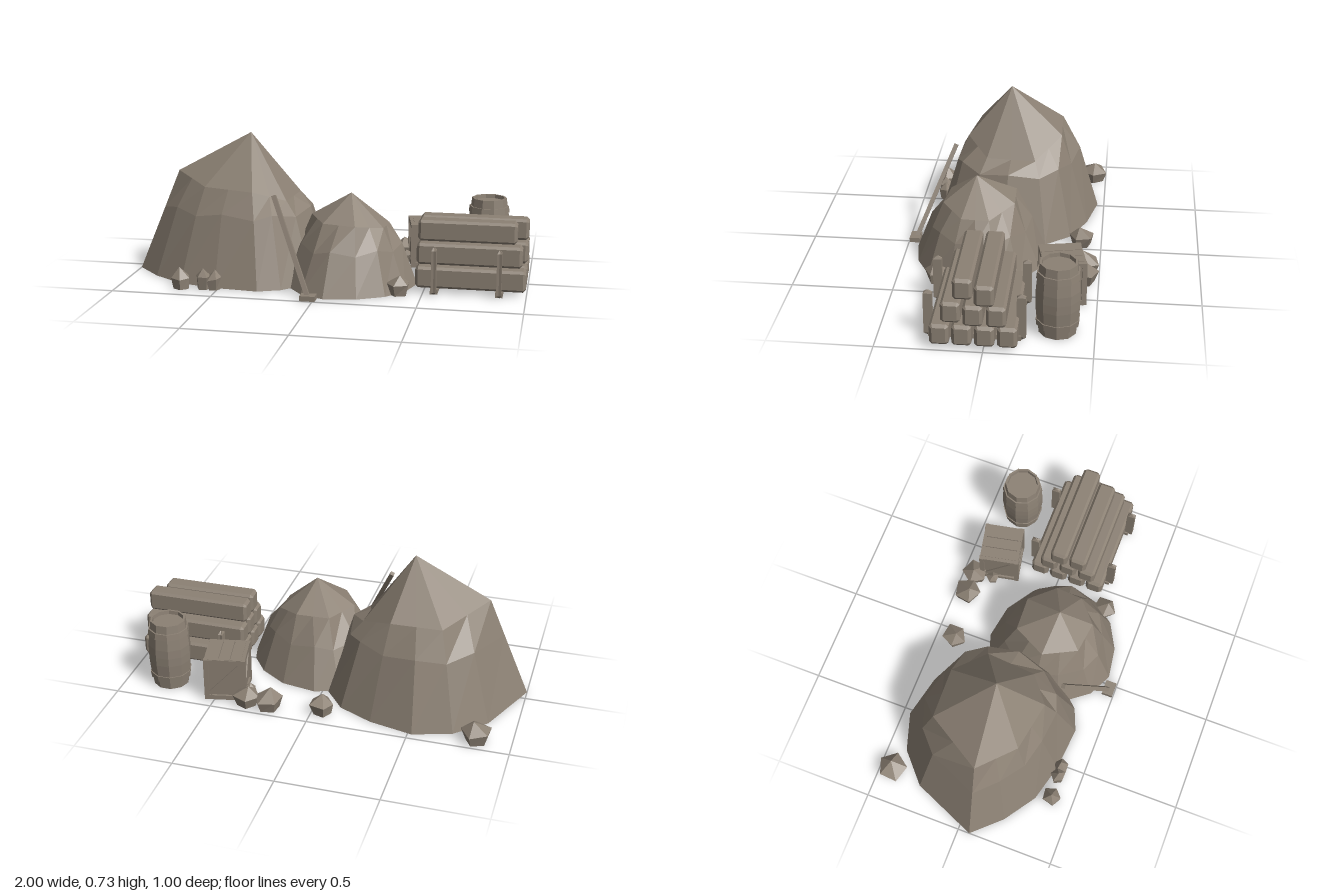
import * as THREE from 'three';

const clay = new THREE.MeshStandardMaterial({ color: 0x8c8174, flatShading: true, side: THREE.DoubleSide });
clay.name = 'clay';

function add(parent, name, geometry, x = 0, y = 0, z = 0) {
  const mesh = new THREE.Mesh(geometry, clay);
  mesh.name = name;
  mesh.position.set(x, y, z);
  parent.add(mesh);
  return mesh;
}

function box(parent, name, w, h, d, x, y, z) {
  return add(parent, name, new THREE.BoxGeometry(w, h, d), x, y, z);
}

// Square bar running from one point to another
function bar(parent, name, a, b, w, d) {
  const dir = b.clone().sub(a);
  const mesh = box(parent, name, w, dir.length(), d, 0, 0, 0);
  mesh.position.copy(a).add(b).multiplyScalar(0.5);
  mesh.quaternion.setFromUnitVectors(new THREE.Vector3(0, 1, 0), dir.normalize());
  return mesh;
}

// Open-bottomed faceted shell: rings from the ground up, closed by a tip
function shell(rings, tip) {
  const pos = [];
  const tri = (...pts) => pts.forEach((p) => pos.push(p.x, p.y, p.z));
  const n = rings[0].length;
  rings.forEach((low, r) => {
    const up = rings[r + 1];
    for (let i = 0; i < n; i++) {
      const j = (i + 1) % n;
      if (!up) { tri(low[j], low[i], tip); continue; }
      tri(low[j], low[i], up[i]);
      tri(low[j], up[i], up[j]);
    }
  });
  const g = new THREE.BufferGeometry();
  g.setAttribute('position', new THREE.Float32BufferAttribute(pos, 3));
  g.computeVertexNormals();
  return g;
}

// Mound: ground outline, a shoulder ring and a coarser upper ring
function mound(parent, name, outline, centre, tip, shoulder, upper, heights) {
  const n = outline.length;
  const ring = (f, yOf) => outline.map(([x, z], i) => new THREE.Vector3(
    centre[0] + (x - centre[0]) * f, yOf(i), centre[1] + (z - centre[1]) * f));
  const base = ring(1, () => 0);
  const mid = ring(shoulder[0], (i) => shoulder[1] + (i % 2 ? 0.012 : -0.012));
  const top = ring(upper, (i) => heights[i >> 1]);
  for (let i = 1; i < n; i += 2) top[i].copy(top[i - 1]).add(top[(i + 1) % n]).multiplyScalar(0.5);
  add(parent, name, shell([base, mid, top], new THREE.Vector3(...tip)));
}

let seed = 7;
const rand = () => (seed = (seed * 16807) % 2147483647) / 2147483647;

// Small angular stone with a bulging waist
function rock(parent, x, z, r, h) {
  const turn = rand() * 6.28;
  const ring = (f, y) => Array.from({ length: 5 }, (_, i) => {
    const a = turn + (i * Math.PI * 2) / 5;
    const k = r * f * (0.88 + rand() * 0.2);
    return new THREE.Vector3(Math.cos(a) * k, y ? y * (0.85 + rand() * 0.3) : 0, Math.sin(a) * k);
  });
  const tip = new THREE.Vector3((rand() - 0.5) * r * 0.5, h, (rand() - 0.5) * r * 0.5);
  add(parent, 'rock', shell([ring(0.75, 0), ring(1, h * 0.55)], tip), x, 0, z);
}

// Timber with chamfered edges on every side
function timberGeometry(length, h, w) {
  const c = 0.014, a = w / 2 - c, b = h / 2 - c, k = 0.004;
  const s = new THREE.Shape([
    [a - k, -b], [a, -b + k], [a, b - k], [a - k, b],
    [-a + k, b], [-a, b - k], [-a, -b + k], [-a + k, -b],
  ].map((p) => new THREE.Vector2(...p)));
  const g = new THREE.ExtrudeGeometry(s, {
    depth: length - 2 * c, bevelEnabled: true, bevelThickness: c, bevelSize: c, bevelSegments: 1,
  });
  g.translate(0, 0, c - length / 2);
  g.rotateY(Math.PI / 2);
  return g;
}

function timberStack(parent) {
  const stack = new THREE.Group();
  stack.name = 'timberStack';
  const rows = [
    [0.076, [0.2, 0.098, -0.006, -0.11]],
    [0.181, [0.15, 0.046, -0.06]],
    [0.286, [0.098, -0.006]],
  ];
  rows.forEach(([y, zs], r) => zs.forEach((z, i) => {
    const end = i === 0 && r > 0 ? (r === 2 ? 0.945 : 0.975) : 0.997;
    add(stack, 'timber', timberGeometry(end - 0.46, 0.105, 0.09), (end + 0.46) / 2, y, z);
  }));
  // Sleepers and upright stakes
  for (const x of [0.555, 0.87]) {
    box(stack, 'sleeper', 0.036, 0.025, 0.43, x, 0.0125, 0.05);
    for (const z of [0.265, -0.165]) {
      add(stack, 'stake', timberGeometry(0.236, 0.036, 0.03).rotateZ(Math.PI / 2), x, 0.118, z);
    }
  }
  parent.add(stack);
}

function barrel(parent) {
  const profile = [
    [0, 0.012], [0.078, 0.012], [0.08, 0], [0.09, 0], [0.095, 0.042], [0.102, 0.042], [0.106, 0.075], [0.101, 0.075],
    [0.107, 0.14], [0.108, 0.185], [0.107, 0.23], [0.101, 0.29], [0.106, 0.29], [0.102, 0.322], [0.095, 0.322],
    [0.09, 0.364], [0.08, 0.364], [0.078, 0.345], [0, 0.345],
  ].map((p) => new THREE.Vector2(...p));
  add(parent, 'barrel', new THREE.LatheGeometry(profile, 10, Math.PI / 10), 0.775, 0, -0.325);
}

function crate(parent) {
  const g = new THREE.Group();
  g.name = 'crate';
  g.position.set(0.465, 0, -0.325);
  g.rotation.y = 0.2;
  const s = 0.105, h = 0.228, t = 0.024;
  box(g, 'crateCore', 0.186, h - 0.02, 0.186, 0, h / 2 - 0.004, 0);
  for (let k = 0; k < 4; k++) {
    const side = new THREE.Group();
    side.name = 'crateSide';
    side.rotation.y = (k * Math.PI) / 2;
    box(side, 'cratePost', t, h, t, s - t / 2, h / 2, s - t / 2);
    for (const y of [t / 2, h - t / 2]) box(side, 'crateRail', 2 * (s - t), t, 0.018, 0, y, s - 0.011);
    bar(side, 'crateBrace', new THREE.Vector3(-0.08, 0.03, s - 0.012),
      new THREE.Vector3(0.08, h - 0.03, s - 0.012), 0.022, 0.014);
    g.add(side);
  }
  // Lid planks
  for (const x of [-0.058, 0, 0.058]) box(g, 'lidPlank', 0.054, 0.008, 0.2, x, h - 0.002, 0);
  parent.add(g);
}

export function createModel() {
  const model = new THREE.Group();
  model.name = 'quarryPile';

  mound(model, 'largeMound', [
    [-1, 0.06], [-0.86, -0.27], [-0.71, -0.405], [-0.52, -0.465], [-0.3, -0.415], [-0.13, -0.335], [-0.03, -0.21],
    [0.0, 0], [-0.06, 0.2], [-0.19, 0.335], [-0.3, 0.38], [-0.52, 0.36], [-0.71, 0.31], [-0.87, 0.2],
  ], [-0.45, -0.03], [-0.415, 0, 0.0].map((v, i) => (i === 1 ? 0.725 : v)), [0.76, 0.34], 0.62,
  [0.52, 0.48, 0.48, 0.4, 0.4, 0.46, 0.47]);

  mound(model, 'smallMound', [
    [-0.23, 0.1], [-0.2, -0.06], [-0.08, -0.19], [0.04, -0.23], [0.215, -0.2], [0.35, -0.11], [0.43, 0],
    [0.455, 0.1], [0.415, 0.24], [0.33, 0.35], [0.2, 0.42], [0.04, 0.445], [-0.08, 0.385], [-0.19, 0.24],
  ], [0.13, 0.11], [0.125, 0.46, 0.125], [0.76, 0.2], 0.58,
  [0.34, 0.34, 0.34, 0.3, 0.3, 0.325, 0.33]);

  timberStack(model);
  barrel(model);
  crate(model);

  // Leaning tool with a flat foot
  bar(model, 'toolHandle', new THREE.Vector3(-0.03, 0.018, 0.462), new THREE.Vector3(-0.235, 0.46, 0.275), 0.022, 0.022);
  box(model, 'toolFoot', 0.075, 0.025, 0.056, -0.025, 0.0125, 0.468);

  // Scattered stones: x, z, radius, height
  [
    [-0.83, -0.43, 0.076, 0.11], [-0.05, -0.4, 0.064, 0.1], [0.215, -0.43, 0.072, 0.11], [0.33, -0.43, 0.068, 0.105],
    [0.345, -0.335, 0.036, 0.06], [-0.68, 0.39, 0.05, 0.108], [-0.57, 0.38, 0.042, 0.105], [-0.515, 0.38, 0.04, 0.1],
    [0.385, 0.295, 0.062, 0.1],
  ].forEach((r) => rock(model, ...r));

  return model;
}
